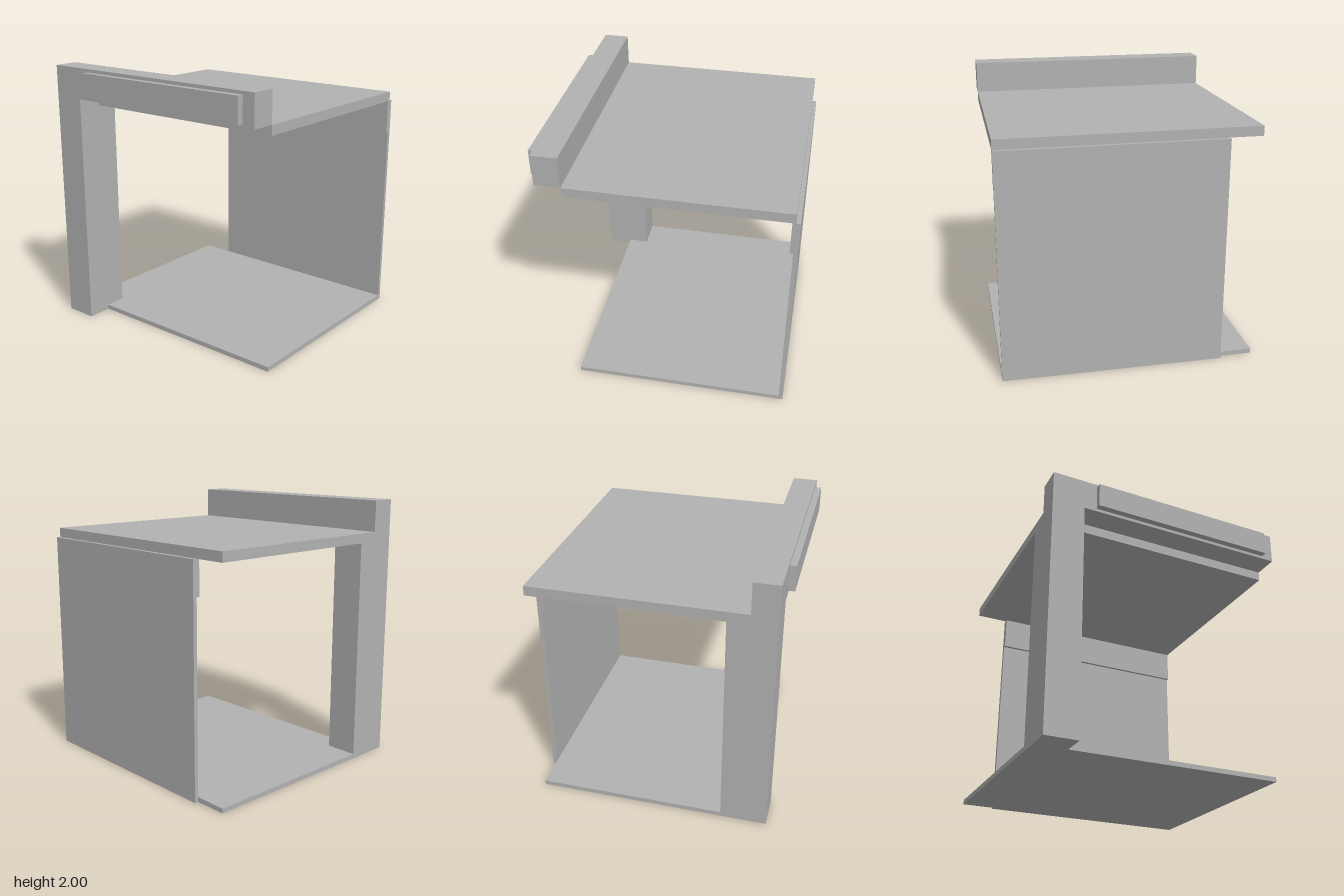
import * as THREE from 'three';

const grey = new THREE.MeshStandardMaterial({ color: 0xb2b2b2 });
grey.name = 'plain grey';

// Outer limits shared by several parts
const SIDE = 0.935;        // half width
const POST_X = -0.69;      // inner face of the post
const FRONT = 0.867, BEAM_BACK = 0.681, BACK = -0.884;
const ROOF_LOW = 1.694, ROOF_TOP = 1.766;

function addMesh(group, name, geometry) {
  const mesh = new THREE.Mesh(geometry, grey);
  mesh.name = name;
  group.add(mesh);
}

// Box given by its limits along each axis
function slab([x0, x1], [y0, y1], [z0, z1]) {
  return new THREE.BoxGeometry(x1 - x0, y1 - y0, z1 - z0)
    .translate((x0 + x1) / 2, (y0 + y1) / 2, (z0 + z1) / 2);
}

function extrude(points, depth) {
  const shape = new THREE.Shape(points.map(([a, b]) => new THREE.Vector2(a, b)));
  return new THREE.ExtrudeGeometry(shape, { depth, bevelEnabled: false });
}

export function createModel() {
  const model = new THREE.Group();
  model.name = 'openBooth';

  // Floor, notched around the post
  addMesh(model, 'floor', extrude([
    [-SIDE, BACK], [SIDE, BACK], [SIDE, BEAM_BACK],
    [POST_X, BEAM_BACK], [POST_X, 0.522], [-SIDE, 0.522],
  ], 0.035).rotateX(Math.PI / 2).translate(0, 0.035, 0));

  // Corner post: side profile (z, y), stepped to carry the roof
  addMesh(model, 'cornerPost', extrude([
    [0.522, 0], [FRONT, 0], [FRONT, ROOF_TOP],
    [BEAM_BACK, ROOF_TOP], [BEAM_BACK, ROOF_LOW], [0.522, ROOF_LOW],
  ], SIDE + POST_X).rotateY(-Math.PI / 2).translate(POST_X, 0, 0));

  // Roof and front beam
  addMesh(model, 'roof', slab([-SIDE, SIDE], [ROOF_LOW, ROOF_TOP], [BACK, BEAM_BACK]));
  addMesh(model, 'frontBeam', slab([-SIDE, SIDE], [ROOF_TOP, 2], [BEAM_BACK, FRONT]));
  addMesh(model, 'signBoard', slab([-0.595, 0.842], [1.789, 1.976], [FRONT, 0.914]));

  // Back wall with a strip along its inner top edge
  addMesh(model, 'backWall', slab([POST_X, SIDE], [0, ROOF_LOW], [-0.914, BACK]));
  addMesh(model, 'backWallStrip', slab([POST_X, SIDE], [1.44, ROOF_LOW], [BACK, -0.86]));

  return model;
}
